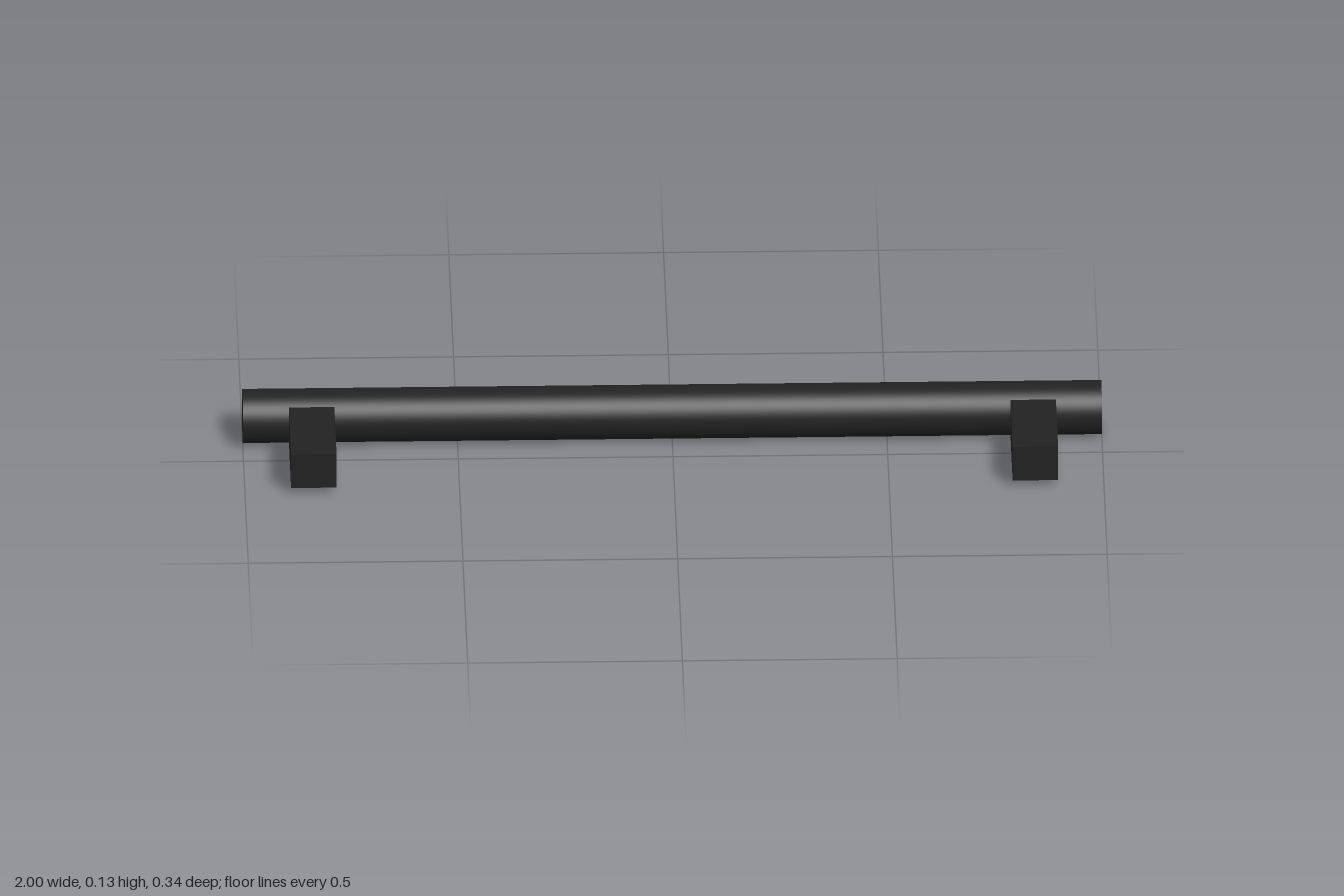
import * as THREE from 'three';

export function createModel() {
  const black = new THREE.MeshStandardMaterial({ color: 0x222222 });
  black.name = 'matte black';

  const model = new THREE.Group();
  model.name = 'barHandle';

  const radius = 0.063;
  const barZ = -0.105;
  const frontZ = 0.169;

  // Round grip bar running along x
  const barGeometry = new THREE.CylinderGeometry(radius, radius, 2, 64);
  barGeometry.rotateZ(Math.PI / 2);
  const bar = new THREE.Mesh(barGeometry, black);
  bar.name = 'gripBar';
  bar.position.set(0, radius, barZ);
  model.add(bar);

  // Two square mounting posts, sunk into the bar's core
  const depth = frontZ - barZ;
  const postGeometry = new THREE.BoxGeometry(0.106, 0.089, depth);
  for (const [name, side] of [['leftPost', 1], ['rightPost', -1]]) {
    const post = new THREE.Mesh(postGeometry, black);
    post.name = name;
    post.position.set(side * 0.84, 0.0635, barZ + depth / 2);
    model.add(post);
  }

  return model;
}
